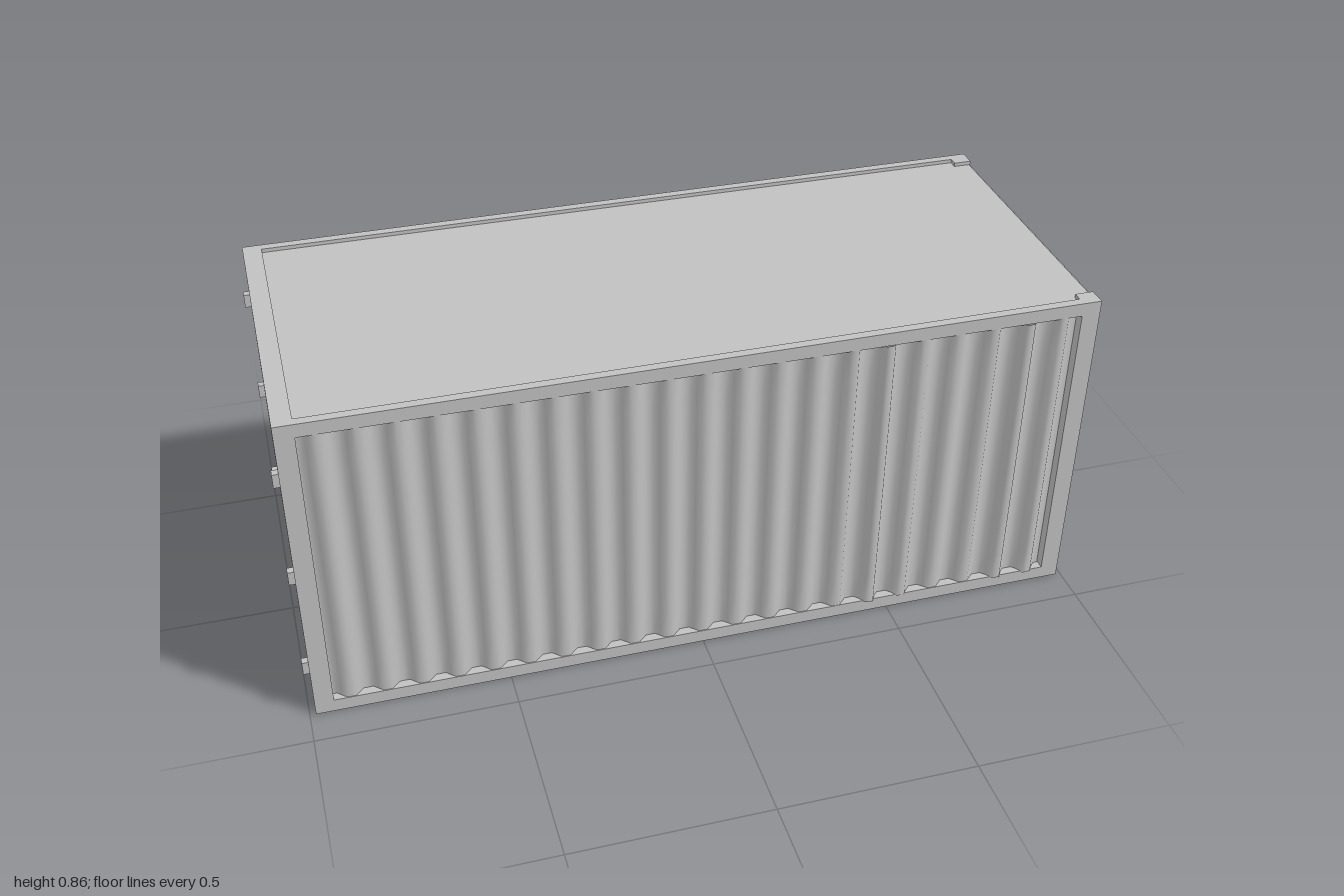
import * as THREE from 'three';

export function createModel() {
  const root = new THREE.Group();
  root.name = 'cargoContainer';
  const steel = new THREE.MeshStandardMaterial({ color: 0xc0c0c0, side: THREE.DoubleSide });
  steel.name = 'grey steel';

  // box given by its lower and upper limits
  const block = (name, x0, x1, y0, y1, z0, z1) => {
    const m = new THREE.Mesh(new THREE.BoxGeometry(x1 - x0, y1 - y0, z1 - z0), steel);
    m.position.set((x0 + x1) / 2, (y0 + y1) / 2, (z0 + z1) / 2);
    m.name = name;
    root.add(m);
  };

  const H = 0.855, RAIL = 0.035, X0 = -0.985, X1 = 0.988, Z = 0.41, POST = 0.047;
  const WALL_H = H - 2 * RAIL + 0.005;
  const bump = (t, centre, width) => Math.exp(-(((t - centre) / width) ** 2));

  // Corrugated sheet facing +z; dent(u, v, wave) turns the wave (-1..1) into an offset
  const sheet = (name, width, waves, dent) => {
    const geo = new THREE.PlaneGeometry(width, WALL_H, waves * 8, 10);
    const p = geo.attributes.position;
    for (let i = 0; i < p.count; i++) {
      const u = p.getX(i), v = p.getY(i);
      const phase = (u / width + 0.5) * waves * Math.PI * 2;
      const wave = THREE.MathUtils.clamp(-1.35 * Math.cos(phase), -1, 1);
      p.setZ(i, dent(u, v, wave));
    }
    geo.computeVertexNormals();
    const m = new THREE.Mesh(geo, steel);
    m.name = name;
    m.position.y = H / 2;
    root.add(m);
    return m;
  };

  // Long walls, slightly bulged in places
  const sideWidth = X1 - X0 - 2 * POST;
  const front = sheet('frontWall', sideWidth, 21, (u, v, w) =>
    0.011 * w + 0.009 * (bump(u + v * 0.06, 0.45, 0.08) + bump(u + v * 0.06, 0.83, 0.08)) * (w > 0 ? w : 0));
  front.position.z = 0.397;
  const back = sheet('backWall', sideWidth, 21, (u, v, w) =>
    0.011 * w + 0.009 * (bump(u, 0.4, 0.2) + bump(u, -0.35, 0.14) + bump(u, -0.75, 0.15)) * (w > 0 ? w : 0));
  back.position.z = -0.397;
  back.rotation.y = Math.PI;

  // Closed end, pressed flat towards the back corner
  const end = sheet('endWall', 2 * (Z - POST), 8, (u, v, w) => {
    const flat = THREE.MathUtils.smoothstep(u, 0.08, 0.22);
    const edge = u > 0.345 ? -0.02 : 0;
    return 0.011 * w * (1 - 0.8 * flat) + 0.004 * flat + edge;
  });
  end.position.x = 0.989;
  end.rotation.y = Math.PI / 2;

  // Posts, long rails and hinges, mirrored front to back
  for (const s of [1, -1]) {
    const side = s > 0 ? 'front' : 'back';
    const span = (a, b) => (s > 0 ? [a, b] : [-b, -a]);
    block(side + 'ClosedEndPost', X1 - POST, X1, 0, H, ...span(Z - POST, Z));
    block(side + 'OpenEndPost', X0, X0 + POST, 0, H, ...span(Z - POST, Z));
    block(side + 'TopRail', X0 + POST, X1 - POST, H - RAIL, H, ...span(0.387, Z));
    block(side + 'BottomRail', X0 + POST, X1 - POST, 0, RAIL, ...span(0.387, Z));
    for (const y of [0.15, 0.43, 0.71])
      block(side + 'Hinge', -1, X0, y - 0.018, y + 0.018, ...span(0.388, 0.407));
  }

  // Open end frame
  block('lintel', X0, X0 + POST, H - 0.065, H, -Z + POST, Z - POST);
  block('sill', X0, X0 + POST, 0, RAIL, -Z + POST, Z - POST);

  // Sunken roof and floor with stepped end rails
  block('roof', X0 + POST, X1 - POST, H - 0.028, H - 0.01, -0.387, 0.387);
  block('floor', X0 + POST, X1 - POST, 0.01, 0.03, -0.387, 0.387);
  block('endTopRail', X1 - POST, 0.984, H - RAIL, H - 0.01, -Z + POST, Z - POST);
  block('endBottomRail', X1 - POST, 0.984, 0.01, RAIL, -Z + POST, Z - POST);
  block('endTopLip', 0.984, X1, H - 0.024, H - 0.012, -Z + POST, Z - POST);
  block('endBottomLip', 0.984, X1, 0.004, 0.02, -Z + POST, Z - POST);

  return root;
}
